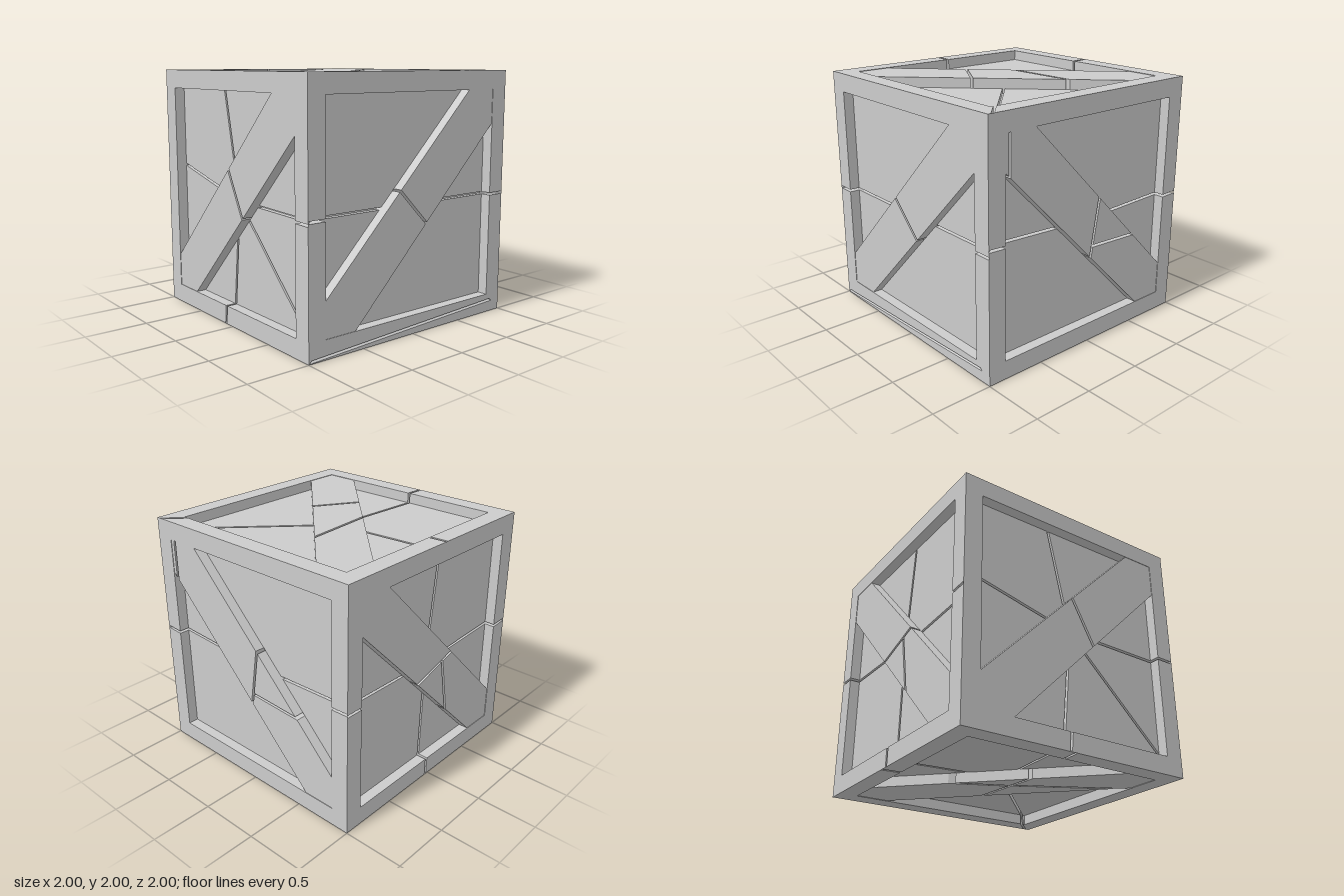
import * as THREE from 'three';

const IN = 0.85;       // inner edge of the frame
const RECESS = 0.085;  // depth of the panels below the frame
const BASE = 0.125;    // depth at which all parts meet the core
const BAND = 0.275;    // half height of the diagonal plank
const GAP = 0.02;      // crack width
const TURN = Math.PI / 2;

const material = new THREE.MeshStandardMaterial({ color: 0xcccccc, flatShading: true });

// Keep the part of a convex polygon where nx*x + ny*y >= d
function clip(poly, nx, ny, d) {
  const out = [];
  poly.forEach((a, i) => {
    const b = poly[(i + 1) % poly.length];
    const da = nx * a[0] + ny * a[1] - d;
    const db = nx * b[0] + ny * b[1] - d;
    if (da >= 0) out.push(a);
    if (da * db < 0) {
      const t = da / (da - db);
      out.push([a[0] + (b[0] - a[0]) * t, a[1] + (b[1] - a[1]) * t]);
    }
  });
  return out;
}

function inside(poly, x, y) {
  return poly.every((a, i) => {
    const b = poly[(i + 1) % poly.length];
    return (b[0] - a[0]) * (y - a[1]) - (b[1] - a[1]) * (x - a[0]) > 1e-3;
  });
}

// Split every piece that the crack runs through, leaving a narrow gap
function crack(pieces, [x0, y0, x1, y1]) {
  const len = Math.hypot(x1 - x0, y1 - y0);
  const nx = (y0 - y1) / len, ny = (x1 - x0) / len;
  const d = nx * x0 + ny * y0;
  return pieces.flatMap((poly) => {
    let hits = 0;
    for (let i = 1; i < 40; i++) {
      if (inside(poly, x0 + (x1 - x0) * i / 40, y0 + (y1 - y0) * i / 40)) hits++;
    }
    if (hits < 3) return [poly];
    return [clip(poly, nx, ny, d + GAP / 2), clip(poly, -nx, -ny, GAP / 2 - d)]
      .filter((p) => p.length > 2);
  });
}

// Prism from depth `top` down to the core; outer edges are mitred towards the core
function prism(poly, top) {
  const shape = new THREE.Shape(poly.map(([x, y]) => new THREE.Vector2(x, y)));
  const geo = new THREE.ExtrudeGeometry(shape, { depth: BASE - top, bevelEnabled: false });
  geo.translate(0, 0, 1 - BASE);
  const p = geo.attributes.position, lim = 1 - BASE;
  for (let i = 0; i < p.count; i++) {
    if (p.getZ(i) < lim + 1e-4) {
      p.setX(i, THREE.MathUtils.clamp(p.getX(i), -lim, lim));
      p.setY(i, THREE.MathUtils.clamp(p.getY(i), -lim, lim));
    }
  }
  geo.computeVertexNormals();
  return geo;
}

// One crate side: four frame bars, two sunken panels and a diagonal plank
function makeSide(name, pitch, yaw, slope, rays, splits) {
  const side = new THREE.Group();
  side.name = name;
  const bars = [[[-1, -1], [1, -1], [IN, -IN], [-IN, -IN]]];
  for (let i = 0; i < 3; i++) bars.push(bars[i].map(([x, y]) => [-y, x]));
  const square = bars.map((bar) => bar[3]);
  const parts = [
    ['frameBar', 0, bars],
    ['panel', RECESS, [clip(square, -slope, 1, BAND), clip(square, slope, -1, BAND)]],
    ['diagonalPlank', 0.004, [clip(clip(square, -slope, 1, -BAND), slope, -1, -BAND)]],
  ];
  // Rays run outward from near the middle; splits cross the plank or a bar
  const cracks = [...rays.map(([x, y]) => [x / 4, y / 4, x, y]), ...splits];
  for (const [partName, top, polys] of parts) {
    for (const poly of cracks.reduce(crack, polys)) {
      const mesh = new THREE.Mesh(prism(poly, top), material);
      mesh.name = partName;
      side.add(mesh);
    }
  }
  side.rotation.set(pitch * TURN, yaw * TURN, 0);
  side.position.y = 1;
  return side;
}

export function createModel() {
  const crate = new THREE.Group();
  crate.name = 'crackedCrate';

  // Solid core behind the boards
  const size = 2 * (1 - BASE);
  const core = new THREE.Mesh(new THREE.BoxGeometry(size, size, size), material);
  core.name = 'core';
  core.position.y = 1;
  crate.add(core);

  // Upright sides
  crate.add(makeSide('frontSide', 0, 0, 1,
    [[-1, 0], [1, 0]],
    [[-0.14, 0.12, 0.13, -0.15], [-1, -0.985, 1, -0.9]]));
  crate.add(makeSide('leftSide', 0, 1, -1,
    [[-1, 0.05], [1, 0.03]],
    [[0.085, 0.17, 0.025, -0.19], [0.03, -0.195, 0.46, -0.215], [-0.81, 0.84, -0.81, 0.62]]));
  crate.add(makeSide('backSide', 0, 2, -1,
    [[-1, 0.02], [1, 0.05], [0.1, 0.85], [-0.03, -1]],
    [[-0.18, -0.08, 0.2, 0.03], [0.12, -0.02, 0.2, -0.46]]));
  crate.add(makeSide('rightSide', 0, -1, 1,
    [[-0.85, 0.2], [1, -0.02], [-0.18, 0.85], [0.85, -0.82], [-0.1, -1]],
    [[-0.02, 0.24, 0.16, -0.1]]));

  // Top and bottom
  crate.add(makeSide('topSide', -1, 0, 1,
    [[-1, 0.065], [-0.07, 1], [1, -0.96]],
    [[-0.1, 0.18, 0.48, 0.22], [-0.38, -0.1, -0.04, -0.31]]));
  crate.add(makeSide('bottomSide', 1, 0, -1,
    [[-1, -0.05], [0.1, -1], [0.96, 0.92]],
    [[0.27, 0, -0.33, 0.05], [0.1, -0.36, -0.08, 0.02], [-0.11, 0.06, -0.46, 0.7]]));
  return crate;
}
